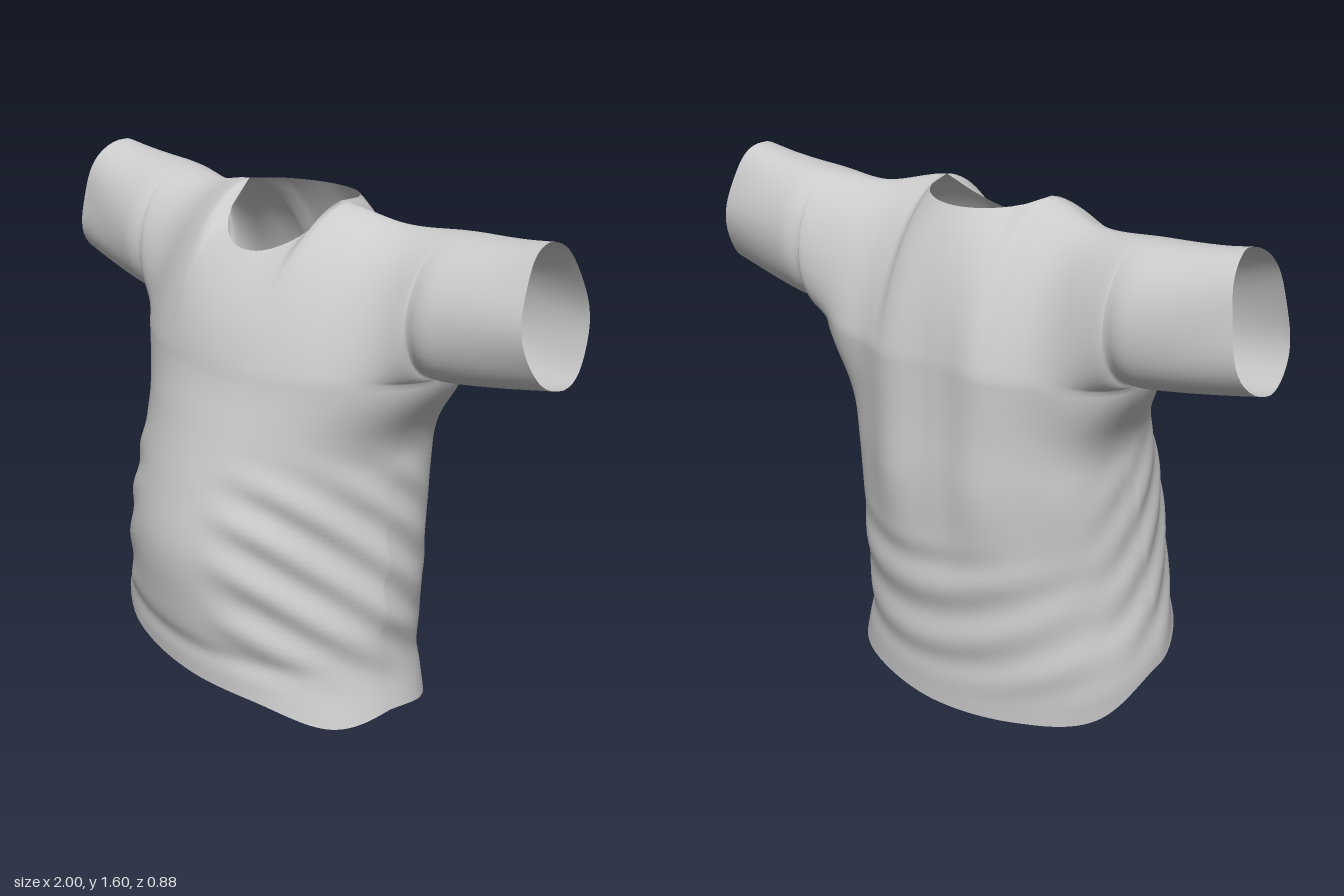
import * as THREE from 'three';
import { mergeVertices } from 'three/addons/utils/BufferGeometryUtils.js';

// Smooth curve through evenly spaced values, read at t = 0..1
const profile = (...v) => {
  const c = new THREE.SplineCurve(v.map((y, i) => new THREE.Vector2(i, y)));
  return (t) => c.getPoint(THREE.MathUtils.clamp(t, 0, 1)).y;
};
const { smoothstep, lerp } = THREE.MathUtils;
const band = (a, b, soft, v) => smoothstep(v, a, a + soft) * (1 - smoothstep(v, b - soft, b));

const ARMPIT_Y = 1.14, CHEST_X = 0.52, FLARE = 0.065, ARMPIT_X = CHEST_X + FLARE, ARM_Z = -0.14;
const COLS = 72, NECK_COS = Math.cos(THREE.MathUtils.degToRad(67.5));
const NECK_R = CHEST_X * NECK_COS + FLARE * NECK_COS ** 5, NECK_Z = -0.075;

// Torso outline from hem to armpit
const leftX = profile(0.535, 0.485, 0.49, 0.48, 0.465, 0.465, CHEST_X);
const rightX = profile(0.575, 0.575, 0.545, 0.52, 0.5, 0.485, CHEST_X);
const frontZ = profile(0.385, 0.395, 0.425, 0.44, 0.4, 0.345, 0.295);
const backZ = profile(-0.385, -0.395, -0.41, -0.425, -0.435, -0.425, -0.42);
const sideZ = profile(0, 0, 0, -0.02, -0.05, -0.09, -0.13);
// Corner fullness of the section: below 1 is square, above 1 is pinched
const frontLeft = profile(0.95, 1.1, 1.35, 1.4, 1.15, 0.95, 0.9);
const frontRight = profile(1, 1.05, 1.2, 1.2, 1.1, 1, 0.9);
const backLeft = profile(0.85, 0.85, 0.85, 0.85, 0.8, 0.7, 0.65);
const backRight = profile(0.85, 0.8, 0.8, 0.75, 0.65, 0.62, 0.65);
// Wavy hem height from the right side to the left side
const hemFront = profile(0.17, 0.23, 0.2, 0.16, 0.12, 0.05, 0.07);
const hemBack = profile(0.17, 0.04, 0.01, 0, 0.02, 0.03, 0.07);
// Shoulder ridge from neck to cuff
const ridgeY = profile(1.6, 1.56, 1.57, 1.585, 1.61);
const ridgeZ = profile(NECK_Z, -0.13, -0.16, -0.16, -0.15);

// Cloth folds, as an offset out of the front (s = 1) or back (s = -1)
function fold(x, y, s) {
  if (s > 0) return -0.01 * Math.exp(-(((y - 0.26 + 0.1 * x) / 0.035) ** 2));
  const swoop = Math.sin(34 * (y - 0.6 * x * x + 0.15 * x)) * band(0.05, 0.62, 0.15, y);
  const drape = Math.sin(21 * Math.abs(x + 0.03) - 2) * smoothstep(y, 0.4, 0.8);
  return 0.008 * swoop + 0.012 * drape;
}

// Folds sweeping down from the chest round the flanks, stronger on the left
function flankFold(c, y, z) {
  const size = c > 0 ? 0.012 * smoothstep(c, 0.15, 0.6) : 0.005 * smoothstep(-c, 0.3, 0.7);
  return size * Math.sin(36 * (y - 0.85 * z)) * band(0.12, 0.95, 0.25, y) * smoothstep(z, -0.3, -0.05);
}

// Lower torso: u goes round the panel from right to left, v from hem to armpit
function torso(u, v, s) {
  const a = Math.PI * (1 - u), c = Math.cos(a), n = Math.sin(a);
  const y = lerp((s > 0 ? hemFront : hemBack)(u), ARMPIT_Y, v), t = y / ARMPIT_Y;
  const x = c * (c > 0 ? leftX : rightX)(t) + FLARE * smoothstep(t, 0.75, 1) * c ** 5;
  const fullness = s > 0 ? (c > 0 ? frontLeft : frontRight) : (c > 0 ? backLeft : backRight);
  const z = lerp(sideZ(t), (s > 0 ? frontZ : backZ)(t), Math.max(0, n) ** fullness(t));
  const f = flankFold(c, y, z);
  return [x + c * f, y, z + s * n * (f + fold(x, y, s))];
}

// One strip rising from [by, bz] over the chest, or round the sleeve, to the neck or shoulder ridge
function strip(x, by, bz, s, v, radius) {
  const ax = Math.abs(x);
  const neck = Math.sqrt(Math.max(0, 1 - (x / NECK_R) ** 2));
  const inNeck = ax < NECK_R - 1e-6;
  const ty = inNeck ? 1.6 - (s > 0 ? 0.15 : 0.02) * neck : ridgeY((ax - 0.2) / 0.8);
  const tz = inNeck ? NECK_Z + s * NECK_R * neck : ridgeZ((ax - 0.2) / 0.8);
  const k = smoothstep(ax, 0.3, 0.66), dy = ty - by;
  const y1 = lerp(by + 0.45 * dy, by, k), z1 = lerp(lerp(bz, tz, 0.15), ARM_Z + s * radius * 1.5, k);
  const y2 = lerp(ty - dy * lerp(0.07, 0.25, neck), ty, k), z2 = lerp(lerp(tz, bz, 0.5), ARM_Z + s * radius * 1.15, k);
  const w = 1 - v, b = [w * w * w, 3 * w * w * v, 3 * w * v * v, v * v * v];
  return [x, b[0] * by + b[1] * y1 + b[2] * y2 + b[3] * ty, b[0] * bz + b[1] * z1 + b[2] * z2 + b[3] * tz];
}

// Chest and shoulders, continuing the torso columns
function yoke(u, v, s) {
  const n = Math.sin(Math.PI * (1 - u));
  const [x, by, bz] = torso(u, 1, s);
  const p = strip(x, by, bz - s * n * fold(x, by, s), s, v, 0.21);
  p[2] += s * n * fold(x, p[1], s) * (1 - v);
  return p;
}

// Sleeve: t runs from armpit to cuff, v from the underside to the ridge
function sleeve(t, v, s, side) {
  const ax = lerp(ARMPIT_X, 1 - 0.085 * v, t);
  const under = lerp(ARMPIT_Y, 1.205, t ** 1.3);
  const p = strip(side * ax, under, lerp(-0.13, ARM_Z, t), s, v, lerp(0.21, 0.14, t));
  p[2] += s * 0.006 * Math.sin(v * Math.PI * 4 + t * 2 * side) * Math.sin(v * Math.PI) * t;
  return p;
}

export function createModel() {
  const group = new THREE.Group();
  group.name = 'shirt';
  const material = new THREE.MeshStandardMaterial({ color: 0xcccccc, side: THREE.DoubleSide });
  const positions = [], ranges = [];

  // Front and back sheets of one part
  function addPart(name, nu, nv, fn) {
    const start = positions.length / 3;
    for (const s of [1, -1]) {
      for (let i = 0; i < nu; i++) {
        for (let j = 0; j < nv; j++) {
          const p = (di, dj) => fn((i + di) / nu, (j + dj) / nv, s);
          const a = p(0, 0), b = p(1, 0), c = p(1, 1), d = p(0, 1);
          const quad = s > 0 ? [a, b, c, a, c, d] : [a, c, b, a, d, c];
          positions.push(...quad.flat());
        }
      }
    }
    ranges.push({ name, start, count: positions.length / 3 - start });
  }

  addPart('torso', COLS, 60, torso);
  addPart('yoke', COLS, 24, yoke);
  addPart('leftSleeve', 18, 24, (u, v, s) => sleeve(u, v, s, 1));
  addPart('rightSleeve', 18, 24, (u, v, s) => sleeve(1 - u, v, s, -1));

  // Weld everything so shading runs smoothly across the seams, then split into named parts
  const soup = new THREE.BufferGeometry();
  soup.setAttribute('position', new THREE.Float32BufferAttribute(positions, 3));
  const cloth = mergeVertices(soup, 1e-4);
  cloth.computeVertexNormals();
  const index = Array.from(cloth.index.array);
  for (const { name, start, count } of ranges) {
    const part = new THREE.BufferGeometry();
    part.setAttribute('position', cloth.attributes.position);
    part.setAttribute('normal', cloth.attributes.normal);
    part.setIndex(index.slice(start, start + count));
    const mesh = new THREE.Mesh(part, material);
    mesh.name = name;
    group.add(mesh);
  }
  return group;
}
